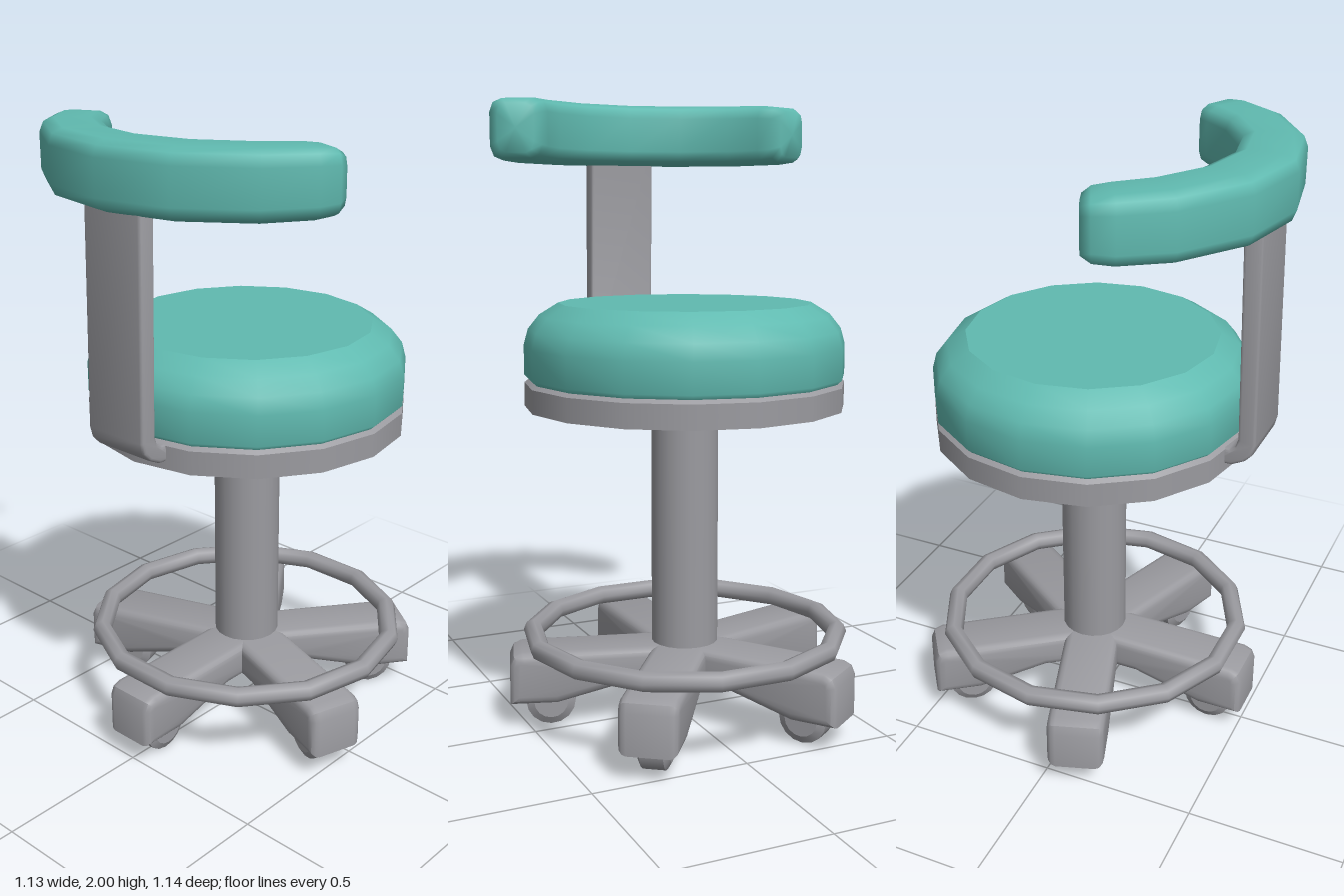
import * as THREE from 'three';
import { toCreasedNormals } from 'three/addons/utils/BufferGeometryUtils.js';

const AXIS_Z = -0.055; // the column stands a little behind the middle

const teal = new THREE.MeshStandardMaterial({ color: 0x60bab0 });
teal.name = 'teal upholstery';
const grey = new THREE.MeshStandardMaterial({ color: 0x9b9ba0 });
grey.name = 'grey metal';

const points = (list) => list.map(([x, y]) => new THREE.Vector2(x, y));

function part(name, geometry, material) {
  const mesh = new THREE.Mesh(geometry, material);
  mesh.name = name;
  return mesh;
}

// Turned part: each run of profile points is smooth, with sharp edges between runs
function turned(name, material, segments, runs) {
  const group = new THREE.Group();
  group.name = name;
  runs.forEach((run, i) =>
    group.add(part(`${name}Face${i + 1}`, new THREE.LatheGeometry(points(run), segments), material)));
  return group;
}

// Side profile given a width and rounded edges
function slab(outline, width, bevel) {
  const depth = width - 2 * bevel;
  const geometry = new THREE.ExtrudeGeometry(new THREE.Shape(points(outline)), {
    depth, bevelEnabled: true, bevelThickness: bevel, bevelSize: bevel,
    bevelOffset: -bevel, bevelSegments: 3, curveSegments: 6,
  });
  geometry.translate(0, 0, -depth / 2);
  return toCreasedNormals(geometry, 0.7);
}

// Curved backrest: a rounded square swept along an arc, narrowing at the tips
function backrestGeometry() {
  const quarter = [[0.1, 0.055], [0.087, 0.087], [0.055, 0.1]];
  const section = [];
  for (let q = 0; q < 4; q++) {
    const c = Math.round(Math.cos(q * Math.PI / 2)), s = Math.round(Math.sin(q * Math.PI / 2));
    quarter.forEach(([u, v]) => section.push([u * c - v * s, u * s + v * c]));
  }
  const half = [[0, 1], [22.5, 1], [45, 0.98], [60, 0.93], [66, 0.82], [69, 0.56]];
  const stations = [...half.slice(1).reverse().map(([a, k]) => [-a, k]), ...half];
  const n = section.length, last = stations.length - 1;
  const position = [], index = [];
  const place = (deg, u, v) => {
    const a = THREE.MathUtils.degToRad(deg);
    position.push(Math.sin(a) * (0.521 + u), 1.9 + v, -0.05 + Math.cos(a) * (0.521 + u));
  };
  stations.forEach(([deg, k]) => section.forEach(([u, v]) => place(deg, u * k, v * Math.sqrt(k))));
  place(stations[0][0] - 0.5, 0, 0);
  place(stations[last][0] + 0.5, 0, 0);
  const startCentre = n * (last + 1), endCentre = startCentre + 1;
  for (let j = 0; j < n; j++) {
    const k = (j + 1) % n;
    for (let i = 0; i < last; i++) {
      const a = i * n + j, b = a + n, c = (i + 1) * n + k, d = i * n + k;
      index.push(a, b, c, a, c, d);
    }
    index.push(startCentre, j, k, endCentre, last * n + k, last * n + j);
  }
  const geometry = new THREE.BufferGeometry();
  geometry.setAttribute('position', new THREE.Float32BufferAttribute(position, 3));
  geometry.setIndex(index);
  geometry.computeVertexNormals();
  return geometry;
}

export function createModel() {
  const model = new THREE.Group();
  model.name = 'stool';

  const body = new THREE.Group();
  body.name = 'stoolBody';
  body.position.z = AXIS_Z;
  model.add(body);

  // Seat cushion and the plate beneath it
  body.add(turned('seatCushion', teal, 16, [
    [[0.49, 1.115], [0.51, 1.135], [0.51, 1.23], [0.496, 1.28], [0.46, 1.325], [0.4, 1.362]],
    [[0.4, 1.362], [0, 1.362]],
  ]));
  body.add(turned('seatPlate', grey, 16, [
    [[0, 1.035], [0.51, 1.035]],
    [[0.51, 1.035], [0.51, 1.11]],
    [[0.51, 1.11], [0.495, 1.122]],
    [[0.495, 1.122], [0, 1.122]],
  ]));

  // Column
  const column = part('column', new THREE.CylinderGeometry(0.108, 0.108, 0.88, 20), grey);
  column.position.y = 0.6;
  body.add(column);

  // Foot ring
  const ring = part('footRing', new THREE.TorusGeometry(0.497, 0.032, 8, 14), grey);
  ring.rotation.x = Math.PI / 2;
  ring.position.y = 0.288;
  body.add(ring);

  // Five legs, each with a caster under its tip
  const legGeometry = slab([
    [-0.02, 0.145], [0.19, 0.145], [0.42, 0.085], [0.57, 0.085],
    [0.57, 0.215], [0.558, 0.243], [0.53, 0.255], [-0.02, 0.262],
  ], 0.185, 0.028);
  for (let i = 0; i < 5; i++) {
    const leg = new THREE.Group();
    leg.name = `leg${i + 1}`;
    leg.rotation.y = -Math.PI / 2 + i * Math.PI * 2 / 5;
    leg.add(part('legArm', legGeometry, grey));
    const caster = turned('caster', grey, 16, [
      [[0, -0.05], [0.055, -0.05]],
      [[0.055, -0.05], [0.08, -0.036]],
      [[0.08, -0.036], [0.08, 0.036]],
      [[0.08, 0.036], [0.055, 0.05]],
      [[0.055, 0.05], [0, 0.05]],
    ]);
    caster.rotation.x = Math.PI / 2;
    caster.position.set(0.44, 0.082, 0);
    leg.add(caster);
    body.add(leg);
  }

  // Bent strap carrying the backrest
  const strap = part('backStrap', slab([
    [0.4, 1.06], [0.455, 1.06], [0.495, 1.08], [0.518, 1.105], [0.527, 1.14],
    [0.512, 1.85], [0.455, 1.85], [0.471, 1.15], [0.463, 1.125], [0.445, 1.113], [0.4, 1.113],
  ], 0.228, 0.01), grey);
  strap.rotation.y = -Math.PI / 2;
  model.add(strap);

  // Backrest
  model.add(part('backrest', backrestGeometry(), teal));

  return model;
}
